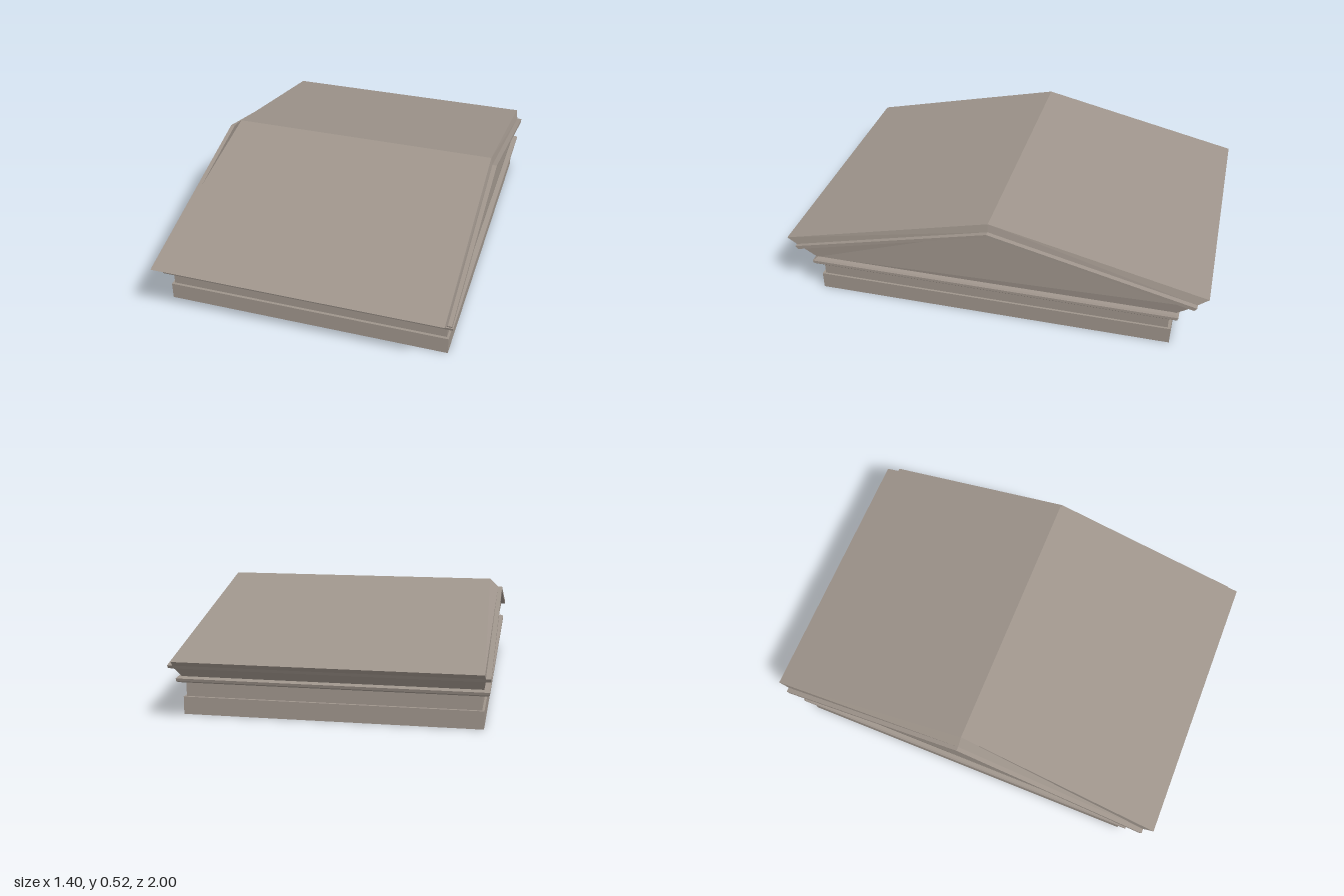
import * as THREE from 'three';

// Skin consecutive rings (counter-clockwise seen from the end they advance to) and cap both ends.
function loft(rings) {
  const pos = [];
  const tri = (...p) => p.forEach((v) => pos.push(...v));
  const n = rings[0].length;
  for (let i = 0; i < rings.length - 1; i++) {
    for (let j = 0; j < n; j++) {
      const k = (j + 1) % n;
      const [a, b, c, d] = [rings[i][j], rings[i][k], rings[i + 1][k], rings[i + 1][j]];
      tri(a, b, c);
      tri(a, c, d);
    }
  }
  const first = rings[0], last = rings[rings.length - 1];
  for (let j = 1; j < n - 1; j++) {
    tri(first[0], first[j + 1], first[j]);
    tri(last[0], last[j], last[j + 1]);
  }
  const geo = new THREE.BufferGeometry();
  geo.setAttribute('position', new THREE.Float32BufferAttribute(pos, 3));
  geo.computeVertexNormals();
  return geo;
}

// Rectangular ring of half sizes x, z at height y.
const rect = (x, z, y) => [[-x, y, z], [x, y, z], [x, y, -z], [-x, y, -z]];

// Cross-section of a gabled slab: lower edge then upper edge.
const gable = (bl, br, by, bz, tl, tr, ty, tz) =>
  [[bl, by, bz], [br, by, bz], [tr, ty, tz], [tl, ty, tz]];

export function createModel() {
  const group = new THREE.Group();
  const stone = new THREE.MeshStandardMaterial({ color: 0x9e948b });
  stone.name = 'warm grey stone';
  const add = (name, geo) => {
    const mesh = new THREE.Mesh(geo, stone);
    mesh.name = name;
    group.add(mesh);
    return mesh;
  };

  // Plinth frame, open underneath
  const outline = (shape, x, z) =>
    shape.moveTo(-x, -z).lineTo(x, -z).lineTo(x, z).lineTo(-x, z).closePath();
  const frame = outline(new THREE.Shape(), 0.665, 0.845);
  frame.holes.push(outline(new THREE.Path(), 0.59, 0.675));
  const plinth = new THREE.ExtrudeGeometry(frame, { depth: 0.08, bevelEnabled: false });
  add('plinth', plinth.rotateX(-Math.PI / 2));

  // Frieze, whose underside closes the recess
  add('frieze', loft([rect(0.655, 0.832, 0.079), rect(0.655, 0.832, 0.152)]));

  // Horizontal moulding
  add('moulding', loft([
    rect(0.68, 0.862, 0.15),
    rect(0.687, 0.872, 0.157),
    rect(0.687, 0.876, 0.17),
    rect(0.68, 0.865, 0.177),
    rect(0.664, 0.858, 0.181),
  ]));

  // Pediment body: gable walls and the sloped soffits beneath the eaves
  const pediment = (s) => [
    [s * 0.663, 0.177, 0.86], [s * 0.663, 0.177, -0.86],
    [s * 0.672, 0.236, -0.94], [s * 0.662, 0.472, 0], [s * 0.672, 0.236, 0.94],
  ];
  add('pediment', loft([pediment(-1), pediment(1)]));

  // Projecting fillet that follows the eaves and rakes
  add('rakeFillet', loft([
    gable(-0.694, 0.694, 0.232, -0.94, -0.694, 0.694, 0.247, -0.952),
    gable(-0.7, 0.698, 0.467, 0, -0.7, 0.698, 0.482, 0),
    gable(-0.694, 0.694, 0.232, 0.94, -0.694, 0.694, 0.247, 0.952),
  ]));

  // Roof slab with undercut eaves and bevelled gable edges
  add('roof', loft([
    gable(-0.672, 0.67, 0.247, -0.952, -0.67, 0.657, 0.275, -1),
    gable(-0.68, 0.676, 0.482, 0, -0.64, 0.668, 0.52, 0),
    gable(-0.672, 0.676, 0.247, 0.952, -0.67, 0.672, 0.275, 1),
  ]));

  return group;
}
